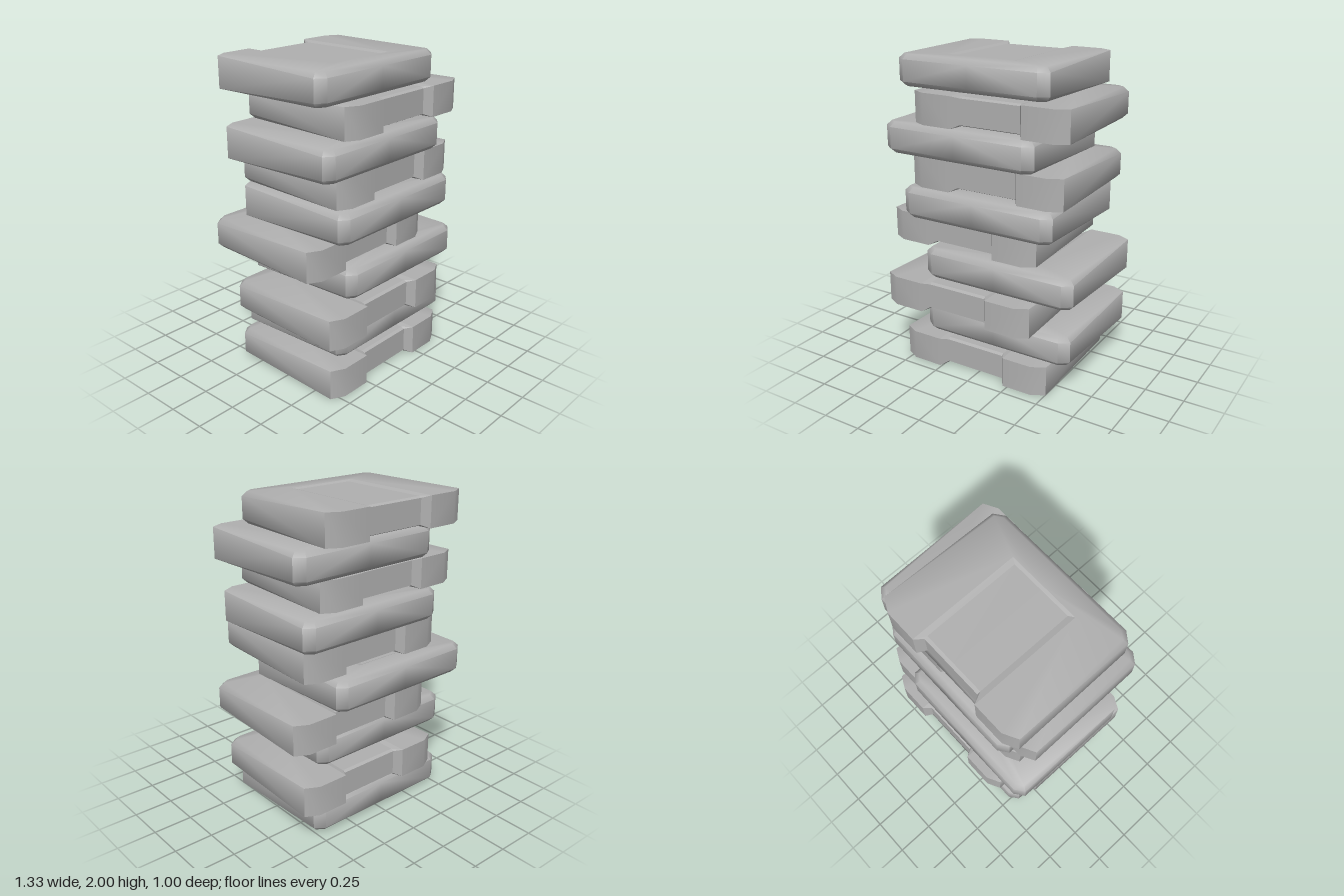
import * as THREE from 'three';
import { toCreasedNormals, mergeGeometries } from 'three/addons/utils/BufferGeometryUtils.js';

const H = 0.0975;  // half thickness of a slab
const B = 0.03;    // bevel along the rounded edge
const D = 0.009;   // depth of the shallow recess

// Half outline of a slab seen from above, from notch to rounded edge: x, z, half height
const OUTLINE = [
  [0, -0.38, H - 2 * D], [0.205, -0.38, H - 2 * D], [0.24, -0.43, H], [0.44, -0.43, H],
  [0.525, -0.385, H], [0.525, 0.385, H - B], [0.465, 0.43, H - B], [0, 0.43, H - B],
];

function makeSlabGeometry() {
  const smooth = [], flat = [];

  // Adds a convex polygon, listed clockwise, mirrored by sx and sy
  const add = (list, poly, sx, sy) => {
    const p = poly.map(([x, y, z]) => [x * sx, y * sy, z]);
    for (let i = 1; i < p.length - 1; i++) {
      const tri = sx * sy > 0 ? [p[0], p[i + 1], p[i]] : [p[0], p[i], p[i + 1]];
      list.push(...tri.flat());
    }
  };

  const edge = OUTLINE.map(([x, z, y]) => [x, y, z]);
  const [n0, n1, t2, t3, t4, e5, e6, e7] = edge;
  // Inner edge of the bevel
  const t5 = [0.495, H, 0.37], t6 = [0.45, H, 0.40], t7 = [0, H, 0.40];
  // Recess rim and floor
  const rim0 = [0, H, 0.275], rim1 = [0.24, H, 0.275];
  const back0 = [0, H - D, -0.36], back1 = [0.205, H - D, -0.36];
  const front0 = [0, H - D, 0.255], front1 = [0.205, H - D, 0.255];

  for (const sx of [1, -1]) {
    // Side walls
    for (let i = 0; i < edge.length - 1; i++) {
      const [p, q] = [edge[i], edge[i + 1]];
      add(smooth, [[p[0], -p[1], p[2]], [q[0], -q[1], q[2]], q, p], sx, 1);
    }
    // Upper and lower faces
    for (const sy of [1, -1]) {
      add(smooth, [rim1, t2, t3, t4, t5], sx, sy);
      add(smooth, [rim0, rim1, t5, t6, t7], sx, sy);
      add(smooth, [t4, e5, t5], sx, sy);
      add(smooth, [t5, e5, e6, t6], sx, sy);
      add(smooth, [t6, e6, e7, t7], sx, sy);
      add(flat, [n0, n1, back1, back0], sx, sy);
      add(flat, [back0, back1, front1, front0], sx, sy);
      add(flat, [front0, front1, rim1, rim0], sx, sy);
      add(flat, [back1, n1, t2, rim1, front1], sx, sy);
    }
  }

  const toGeometry = (list) => {
    const g = new THREE.BufferGeometry();
    g.setAttribute('position', new THREE.Float32BufferAttribute(list, 3));
    g.computeVertexNormals();
    return g;
  };
  return mergeGeometries([toCreasedNormals(toGeometry(smooth), 0.92), toGeometry(flat)]);
}

export function createModel() {
  const group = new THREE.Group();
  group.name = 'slabStack';
  const grey = new THREE.MeshStandardMaterial({ color: 0xb0b0b0 });
  grey.name = 'grey';
  const geometry = makeSlabGeometry();

  // Centre x, z of each slab from the bottom up; every other one is turned round
  const centres = [
    [-0.022, 0], [0.102, -0.07], [-0.105, 0.07], [0.138, -0.022], [-0.14, -0.07],
    [0.018, 0.025], [0.06, -0.022], [-0.105, 0.025], [0.102, 0], [-0.064, -0.07],
  ];
  const pitch = (2 - 2 * H) / (centres.length - 1);
  centres.forEach(([x, z], i) => {
    const slab = new THREE.Mesh(geometry, grey);
    slab.name = `slab${i + 1}`;
    slab.position.set(x, H + i * pitch, z);
    slab.rotation.y = i % 2 ? 0 : Math.PI;
    group.add(slab);
  });
  return group;
}
